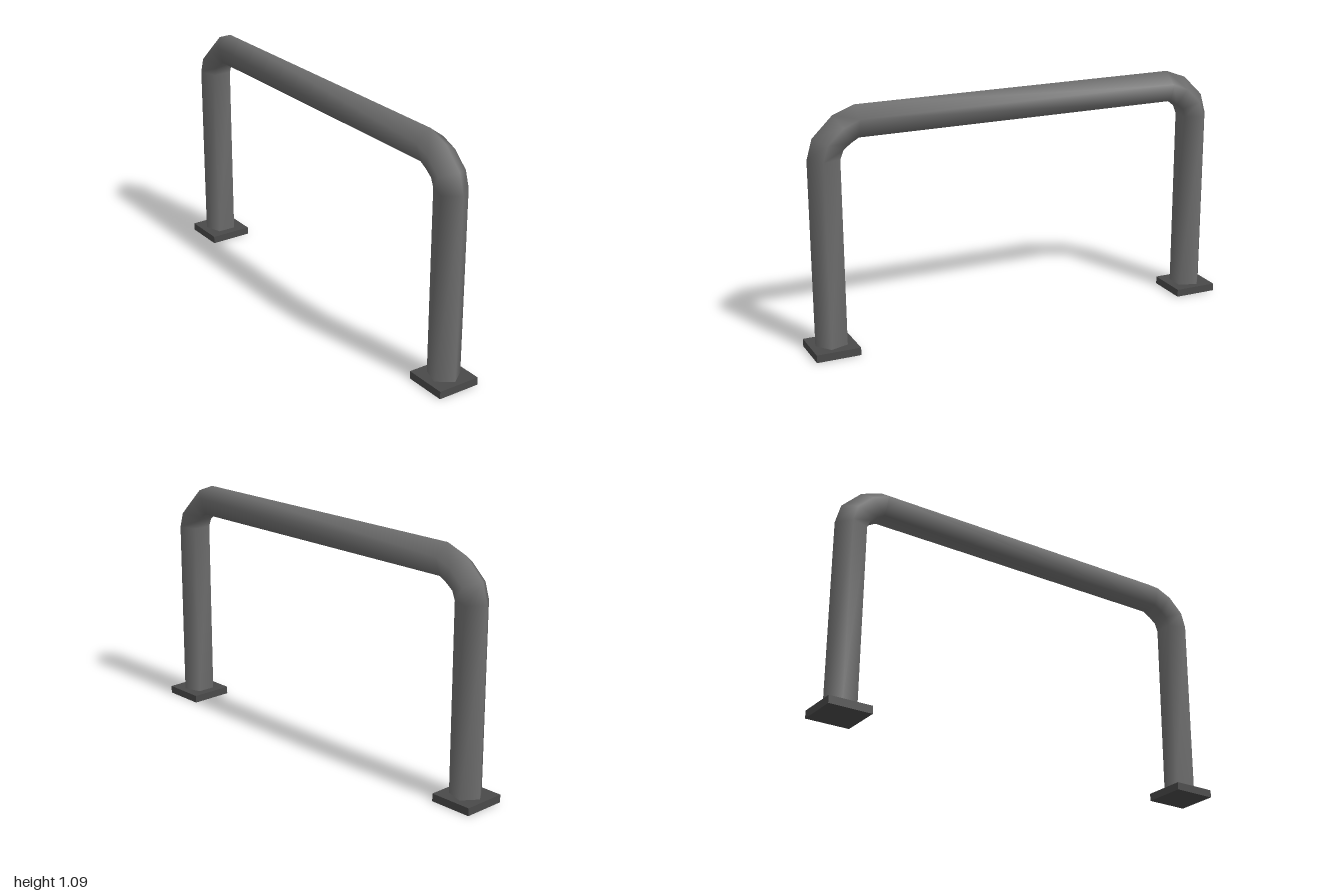
import * as THREE from 'three';

const pipeMaterial = new THREE.MeshStandardMaterial({ color: 0x6e6e6e });
pipeMaterial.name = 'greyPipe';
const plateMaterial = new THREE.MeshStandardMaterial({ color: 0x4a4a4a });
plateMaterial.name = 'darkPlate';

const SIDES = 5;
const RADIUS = 0.0736;

// Five-sided smooth pipe swept along the arch, one corner always pointing outward
function pipeGeometry() {
  // z, y and outward angle (degrees up from +z) for the front half
  const half = [
    [0.901, 0.02, 0],
    [0.901, 0.872, 0],
    [0.881, 0.934, 23],
    [0.821, 0.989, 62],
    [0.757, 1.017, 90],
  ];
  const back = half.map(([z, y, a]) => [-z, y, 180 - a]).reverse();
  const rings = [...half, ...back];

  const positions = [];
  const indices = [];
  rings.forEach(([z, y, degrees], i) => {
    const tilt = THREE.MathUtils.degToRad(degrees);
    for (let j = 0; j < SIDES; j++) {
      const angle = (j / SIDES) * Math.PI * 2;
      const out = Math.cos(angle) * RADIUS;
      positions.push(Math.sin(angle) * RADIUS, y + Math.sin(tilt) * out, z + Math.cos(tilt) * out);
      if (i < rings.length - 1) {
        const a = i * SIDES + j;
        const b = i * SIDES + ((j + 1) % SIDES);
        indices.push(a, b, b + SIDES, a, b + SIDES, a + SIDES);
      }
    }
  });

  const geometry = new THREE.BufferGeometry();
  geometry.setAttribute('position', new THREE.Float32BufferAttribute(positions, 3));
  geometry.setIndex(indices);
  geometry.computeVertexNormals();
  return geometry;
}

export function createModel() {
  const model = new THREE.Group();
  model.name = 'hoopBarrier';

  const pipe = new THREE.Mesh(pipeGeometry(), pipeMaterial);
  pipe.name = 'bentPipe';
  model.add(pipe);

  // Square foot plates
  const plateGeometry = new THREE.BoxGeometry(0.2, 0.035, 0.2);
  for (const side of [1, -1]) {
    const plate = new THREE.Mesh(plateGeometry, plateMaterial);
    plate.name = side > 0 ? 'frontFootPlate' : 'backFootPlate';
    plate.position.set(0, 0.0175, side * 0.9);
    model.add(plate);
  }
  return model;
}
